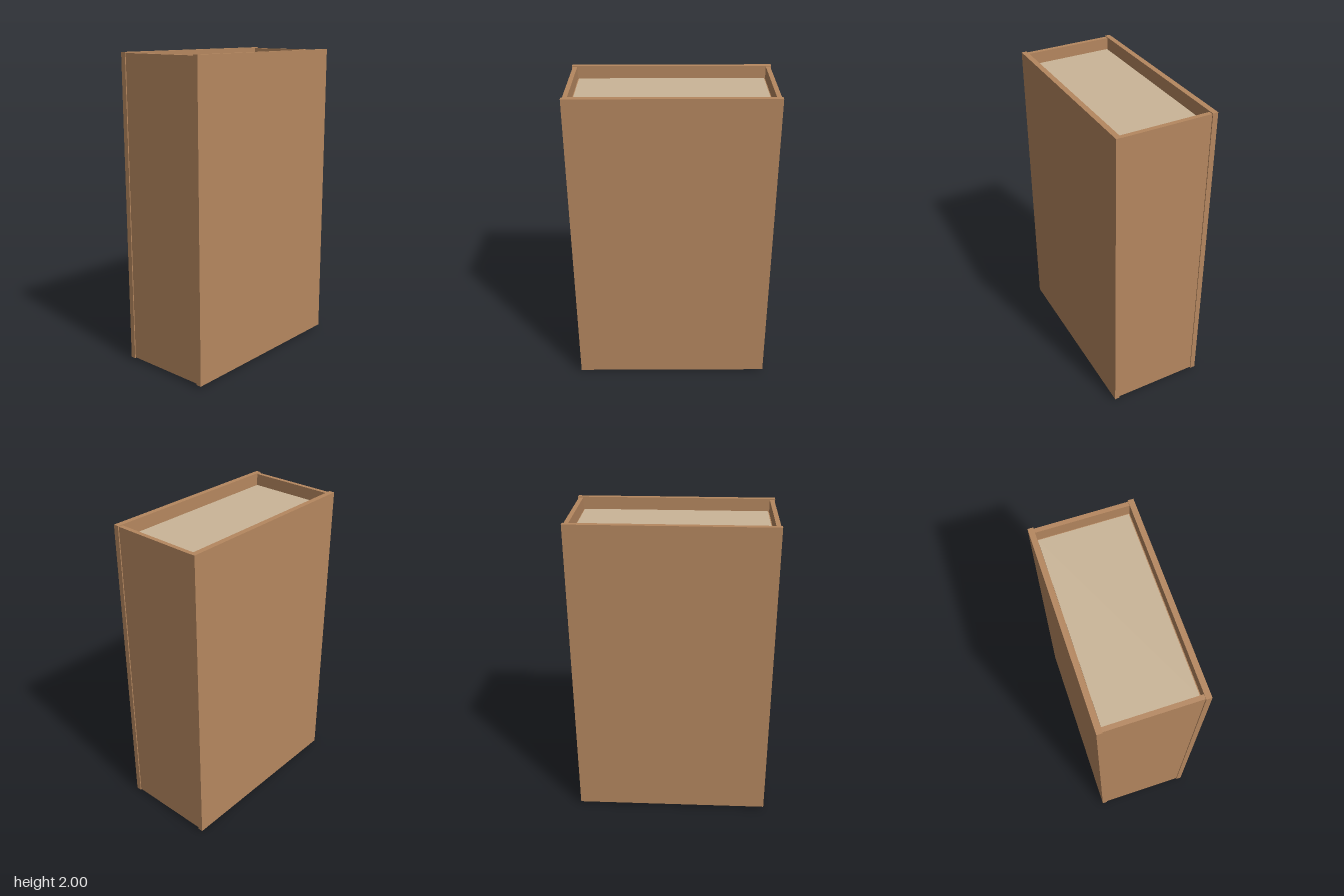
import * as THREE from 'three';

const material = (name, color) => {
  const m = new THREE.MeshStandardMaterial({ color });
  m.name = name;
  return m;
};

export function createModel() {
  const wood = material('brown wood', 0xb5875f);
  const inlay = material('sand board', 0xcab597);
  const steel = material('dark steel', 0x6b7073);
  const rubber = material('grey wheel', 0xa9adb0);
  const hubMat = material('light hub', 0xc9cccd);

  const model = new THREE.Group();
  model.name = 'rollingPlanterBox';

  const add = (parent, name, geometry, mat, x, y, z) => {
    const mesh = new THREE.Mesh(geometry, mat);
    mesh.name = name;
    mesh.position.set(x, y, z);
    parent.add(mesh);
    return mesh;
  };
  const box = (parent, name, mat, [w, h, d], [x, y, z]) =>
    add(parent, name, new THREE.BoxGeometry(w, h, d), mat, x, y, z);

  // Front and back panels overlap the slightly inset, shorter side panels
  box(model, 'frontPanel', wood, [1.262, 1.985, 0.034], [0, 1.0075, 0.298]);
  box(model, 'backPanel', wood, [1.262, 1.985, 0.034], [0, 1.0075, -0.298]);
  for (const s of [1, -1]) {
    box(model, s > 0 ? 'leftPanel' : 'rightPanel', wood, [0.028, 1.975, 0.562], [s * 0.611, 1.0075, 0]);
  }

  // Recessed boards at the bottom and top, with the inlay on the upper one
  box(model, 'baseBoard', wood, [1.194, 0.03, 0.562], [0, 0.195, 0]);
  box(model, 'topBoard', wood, [1.194, 0.03, 0.562], [0, 1.9, 0]);
  box(model, 'topInlay', inlay, [1.178, 0.008, 0.548], [0, 1.919, 0]);

  // Swivel casters turned towards the corners
  const r = 0.062;
  const tyreProfile = [[0.04, -0.013], [0.055, -0.015], [0.06, -0.01], [r, 0], [0.06, 0.01], [0.055, 0.015], [0.04, 0.013]]
    .map(([a, b]) => new THREE.Vector2(a, b));
  const tyre = new THREE.LatheGeometry(tyreProfile, 32).rotateX(Math.PI / 2);
  const hub = new THREE.CylinderGeometry(0.041, 0.041, 0.024, 28).rotateX(Math.PI / 2);
  const axle = new THREE.CylinderGeometry(0.009, 0.009, 0.054, 16).rotateX(Math.PI / 2);
  const swivel = new THREE.CylinderGeometry(0.032, 0.027, 0.02, 24);

  // Fork cheek tapering from the swivel down to the axle
  const cheekShape = new THREE.Shape();
  cheekShape.moveTo(-0.042, 0.084);
  cheekShape.lineTo(0.012, 0.084);
  cheekShape.lineTo(0.014, 0);
  cheekShape.absarc(0, 0, 0.014, 0, Math.PI, true);
  cheekShape.closePath();
  const cheek = new THREE.ExtrudeGeometry(cheekShape, { depth: 0.005, bevelEnabled: false, curveSegments: 8 });

  for (const sx of [1, -1]) {
    for (const sz of [1, -1]) {
      const caster = new THREE.Group();
      caster.name = `${sz > 0 ? 'front' : 'back'}${sx > 0 ? 'Left' : 'Right'}Caster`;
      caster.position.set(sx * 0.535, 0, sz * 0.222);
      model.add(caster);
      box(caster, 'mountingPlate', steel, [0.095, 0.007, 0.085], [-sx * 0.012, 0.1765, -sz * 0.012]);

      const fork = new THREE.Group();
      fork.name = 'swivelFork';
      fork.rotation.y = Math.atan2(-sz, sx);
      caster.add(fork);
      add(fork, 'swivelBearing', swivel, steel, -0.017, 0.163, 0);
      box(fork, 'forkBridge', steel, [0.054, 0.012, 0.05], [-0.015, 0.148, 0]);
      add(fork, 'forkCheek', cheek, steel, 0, r, 0.019);
      add(fork, 'forkCheek', cheek, steel, 0, r, -0.024);
      add(fork, 'wheelTyre', tyre, rubber, 0, r, 0);
      add(fork, 'wheelHub', hub, hubMat, 0, r, 0);
      add(fork, 'axle', axle, steel, 0, r, 0);
    }
  }
  return model;
}
